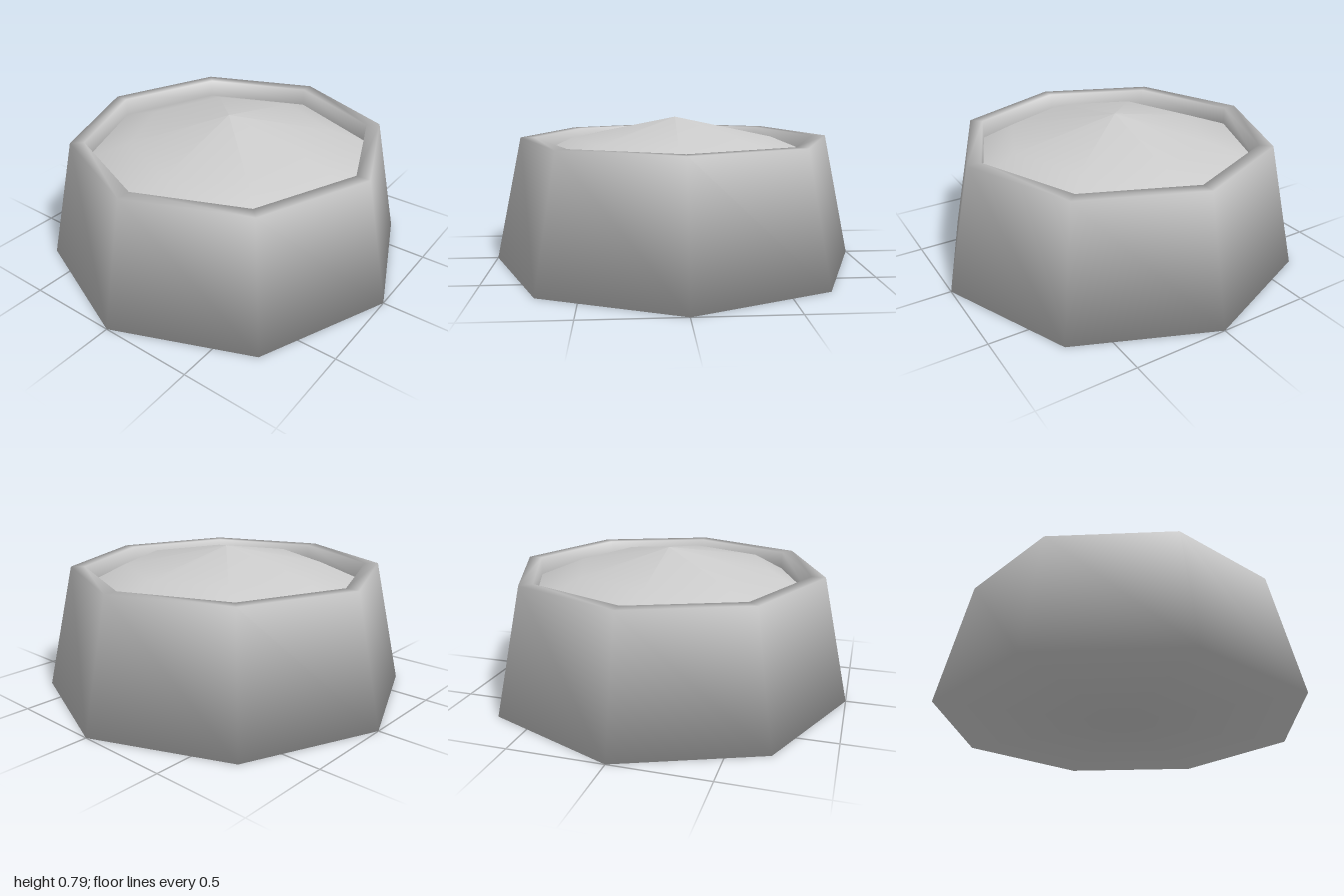
import * as THREE from 'three';

const SIDES = 8;

// Smooth eight-sided turned shape from [radius, height] pairs
function turned(name, profile) {
  const points = profile.map(([r, y]) => new THREE.Vector2(r, y));
  const mesh = new THREE.Mesh(
    new THREE.LatheGeometry(points, SIDES),
    new THREE.MeshStandardMaterial({ color: 0xcccccc })
  );
  mesh.name = name;
  return mesh;
}

export function createModel() {
  const model = new THREE.Group();
  model.name = 'filledBowl';

  // Flat base, tapered outer wall, flat rim and short inner wall
  model.add(turned('bowl', [[0, 0], [1, 0], [0.85, 0.68], [0.775, 0.68], [0.775, 0.58]]));

  // Low mound of food with a slightly off-centre shoulder
  const food = turned('food', [[0.775, 0.58], [0.55, 0.68], [0, 0.79]]);
  const pos = food.geometry.attributes.position;
  for (let i = 0; i < pos.count; i++) {
    if (Math.abs(pos.getY(i) - 0.68) < 0.01) {
      pos.setX(i, pos.getX(i) - 0.02);
      pos.setZ(i, pos.getZ(i) + 0.04);
    }
  }
  model.add(food);

  return model;
}
